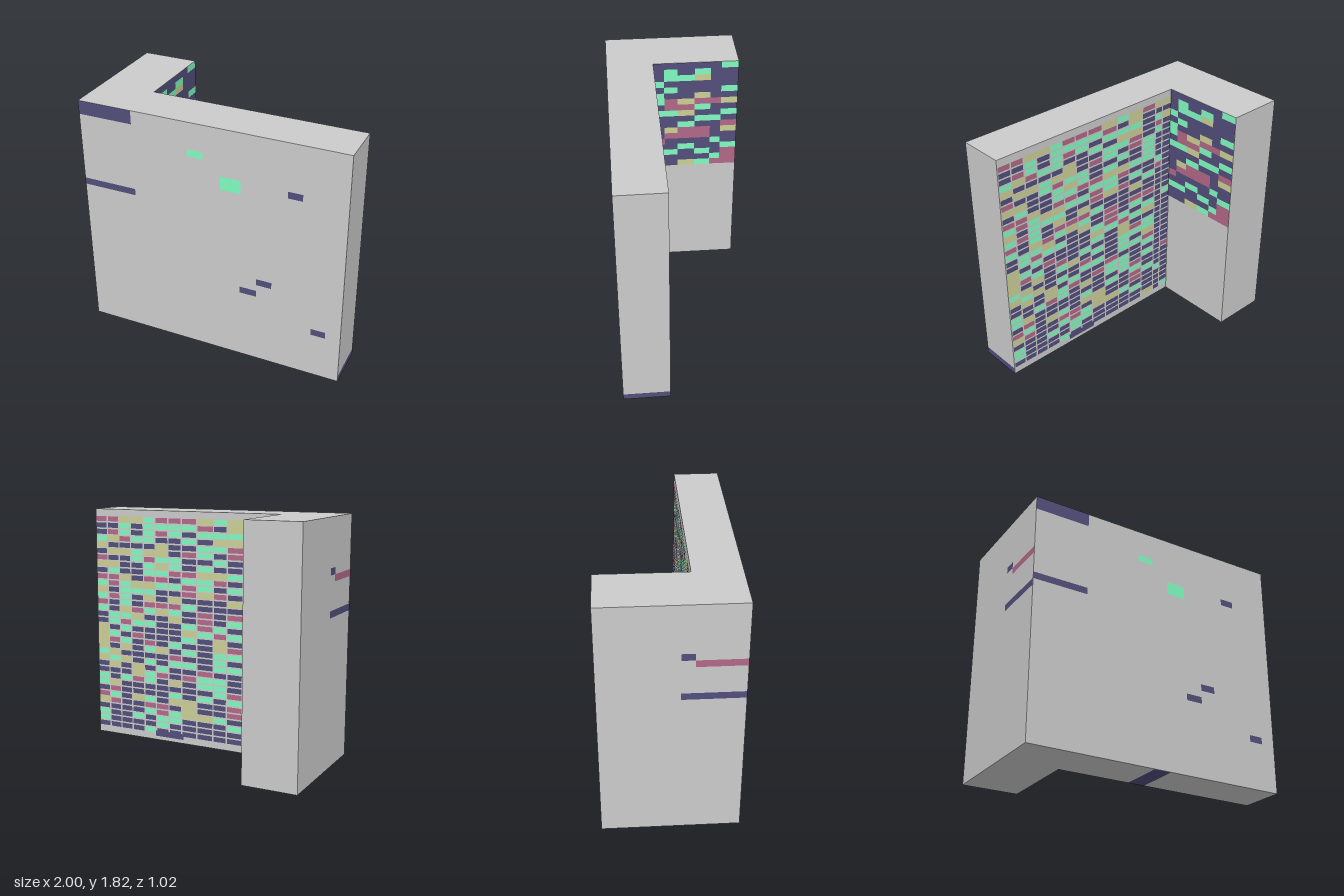
import * as THREE from 'three';
import { mergeGeometries } from 'three/addons/utils/BufferGeometryUtils.js';

const HEIGHT = 1.82, ROW = HEIGHT / 36, GAP = 0.002;
const COLORS = { n: 0x524e7b, g: 0x80fcc1, m: 0xb26887, o: 0xccd095 };
const NAMES = { n: 'navyPanels', g: 'greenPanels', m: 'maroonPanels', o: 'olivePanels' };

// Footprint corners [x, z]; each wall runs left to right as seen from outside
const frontLeft = [-1, 0.463], frontRight = [0.991, 0.508], endRight = [0.997, 0.168];
const inner = [-0.583, 0.131], wingRight = [-0.567, -0.505], wingLeft = [-0.981, -0.515];

// Flat panel on the wall from p to q, spanning u0..u1 along it and y0..y1 in height
function wallPanel([px, pz], [qx, qz], u0, u1, y0, y1) {
  const d = new THREE.Vector3(qx - px, 0, qz - pz).normalize();
  const up = new THREE.Vector3(0, 1, 0);
  const n = new THREE.Vector3().crossVectors(d, up);
  const centre = new THREE.Vector3(px, (y0 + y1) / 2, pz)
    .addScaledVector(d, (u0 + u1) / 2).addScaledVector(n, GAP);
  return new THREE.PlaneGeometry(u1 - u0, y1 - y0)
    .applyMatrix4(new THREE.Matrix4().makeBasis(d, up, n).setPosition(centre));
}

function seeded(seed) {
  return () => (seed = (seed * 16807) % 2147483647) / 2147483647;
}

export function createModel() {
  const group = new THREE.Group();

  // L-shaped block
  const shape = new THREE.Shape(
    [frontLeft, frontRight, endRight, inner, wingRight, wingLeft].map(([x, z]) => new THREE.Vector2(x, -z)));
  const body = new THREE.Mesh(
    new THREE.ExtrudeGeometry(shape, { depth: HEIGHT, bevelEnabled: false }).rotateX(-Math.PI / 2),
    new THREE.MeshStandardMaterial({ color: 0xcccccc }));
  body.name = 'building';
  group.add(body);

  const addPanels = (wall, sets) => {
    const part = new THREE.Group();
    part.name = wall;
    for (const [key, list] of Object.entries(sets)) {
      if (!list.length) continue;
      const mesh = new THREE.Mesh(mergeGeometries(list), new THREE.MeshStandardMaterial({ color: COLORS[key] }));
      mesh.name = NAMES[key];
      part.add(mesh);
    }
    group.add(part);
  };
  const emptySets = () => ({ n: [], g: [], m: [], o: [] });

  // Sparse panels: [colour, u0, u1, first row, row count]
  const sparse = (name, p, q, list) => {
    const sets = emptySets();
    for (const [c, u0, u1, row, count] of list)
      sets[c].push(wallPanel(p, q, u0, u1, row * ROW, (row + count) * ROW));
    addPanels(name, sets);
  };
  sparse('frontPanels', frontLeft, frontRight, [
    ['n', 0, 0.414, 34, 2], ['n', 0, 0.414, 23, 1],
    ['g', 0.834, 0.955, 31, 1], ['g', 1.08, 1.23, 27, 2],
    ['n', 1.57, 1.676, 28, 1], ['n', 1.353, 1.468, 13, 1],
    ['n', 1.227, 1.353, 11, 1], ['n', 1.773, 1.88, 7, 1],
  ]);
  sparse('rightEndPanel', frontRight, endRight, [['n', 0, 0.34, 0, 1]]);
  sparse('leftSidePanels', wingLeft, frontLeft, [
    ['n', 0.55, 0.64, 28, 1], ['m', 0.64, 0.978, 27, 1], ['n', 0.55, 0.978, 22, 1],
  ]);

  // Upper half of the wing's inner wall, one string per floor from the top
  const floors = [
    'nnnnng', 'ngngnn', 'nggonn', 'gnnnnn', 'ngnnng', 'gnnonn',
    'gmommo', 'nmmgnn', 'ggonng', 'nnnggn', 'nngnnm', 'nommno',
    'nmmmnn', 'mnnngn', 'nngnng', 'ggngnm', 'nnnngm', 'nnogmm',
  ];
  const edges = [0, 0.08, 0.18, 0.31, 0.43, 0.51, 0.636];
  const wing = emptySets();
  floors.forEach((floor, r) => [...floor].forEach((c, i) =>
    wing[c].push(wallPanel(inner, wingRight, edges[i], edges[i + 1], HEIGHT - (r + 1) * ROW, HEIGHT - r * ROW))));
  addPanels('wingInnerPanels', wing);

  // Window grid over the whole rear wall of the main block
  const widths = [12, 12, 12, 13, 12, 13, 13, 15, 16, 13, 15, 15, 8, 10].map(w => w * 1.58 / 179);
  const rand = seeded(4711);
  const rear = emptySets();
  for (let r = 1; r < 35; r++) {
    let u = 0;
    widths.forEach((w, i) => {
      const t = rand(), high = r / 35;
      const navy = r < 3 || i > 11 && r < 30 ? 0.85 : 0.56 - 0.28 * high;
      let c = t < navy ? 'n' : t < navy + (1 - navy) * 0.52 ? 'g' : t < navy + (1 - navy) * 0.76 ? 'm' : 'o';
      if (r === 34) c = t < 0.45 ? 'm' : t < 0.75 ? 'o' : 'g';
      // olive panels sit flush with each other, the rest are framed by grey
      const inset = c === 'o' ? 0.001 : 0.006;
      rear[c].push(wallPanel(endRight, inner, u + inset, u + w - inset, r * ROW + inset, (r + 1) * ROW - inset));
      u += w;
    });
  }
  // long panel near the foot of the wall
  rear.n.push(wallPanel(endRight, inner, 0.53, 0.78, 0.6 * ROW, 1.5 * ROW));
  addPanels('rearWindows', rear);

  // Strip across the underside
  const strip = new THREE.Mesh(
    new THREE.PlaneGeometry(0.13, 0.335).rotateX(Math.PI / 2),
    new THREE.MeshStandardMaterial({ color: COLORS.n }));
  strip.name = 'undersideStrip';
  strip.position.set(0.015, -0.0015, 0.316);
  strip.rotation.y = -0.0226;
  group.add(strip);

  return group;
}
